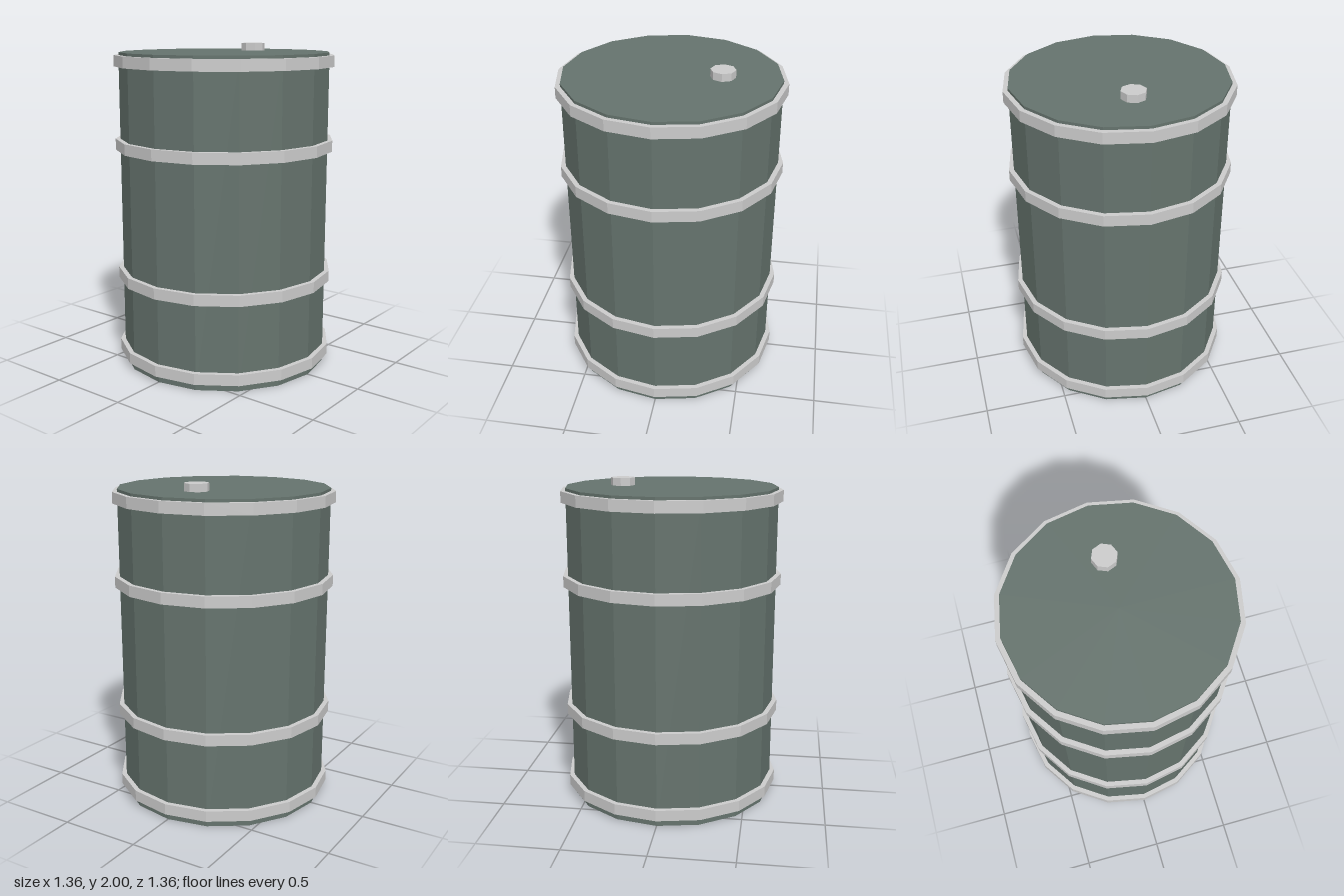
import * as THREE from 'three';

const SIDES = 16;
const BODY_RADIUS = 0.65;
const BODY_HEIGHT = 1.953;

export function createModel() {
  const drum = new THREE.Group();
  drum.name = 'drum';

  const paint = new THREE.MeshStandardMaterial({ color: 0x65736d, flatShading: true });
  const metal = new THREE.MeshStandardMaterial({ color: 0xcccccc, flatShading: true });

  const add = (name, geometry, material, x, y) => {
    const mesh = new THREE.Mesh(geometry, material);
    mesh.name = name;
    mesh.position.set(x, y, 0);
    drum.add(mesh);
  };

  // Closed barrel body
  add('body', new THREE.CylinderGeometry(BODY_RADIUS, BODY_RADIUS, BODY_HEIGHT, SIDES), paint, 0, BODY_HEIGHT / 2);

  // Four bands wrapped around the body, open towards the inside
  const inner = BODY_RADIUS - 0.01, outer = 0.68, half = 0.034;
  const profile = [[inner, -half], [outer, -half], [outer, half], [inner, half]]
    .map(([r, y]) => new THREE.Vector2(r, y));
  const band = new THREE.LatheGeometry(profile, SIDES);
  const bands = { bottomBand: 0.08, lowerBand: 0.567, upperBand: 1.391, topBand: 1.902 };
  for (const [name, y] of Object.entries(bands)) add(name, band, metal, 0, y);

  // Octagonal filler cap on the lid
  const capHeight = 2 - BODY_HEIGHT;
  add('fillerCap', new THREE.CylinderGeometry(0.075, 0.075, capHeight, 8), metal, 0.3, BODY_HEIGHT + capHeight / 2);

  return drum;
}
